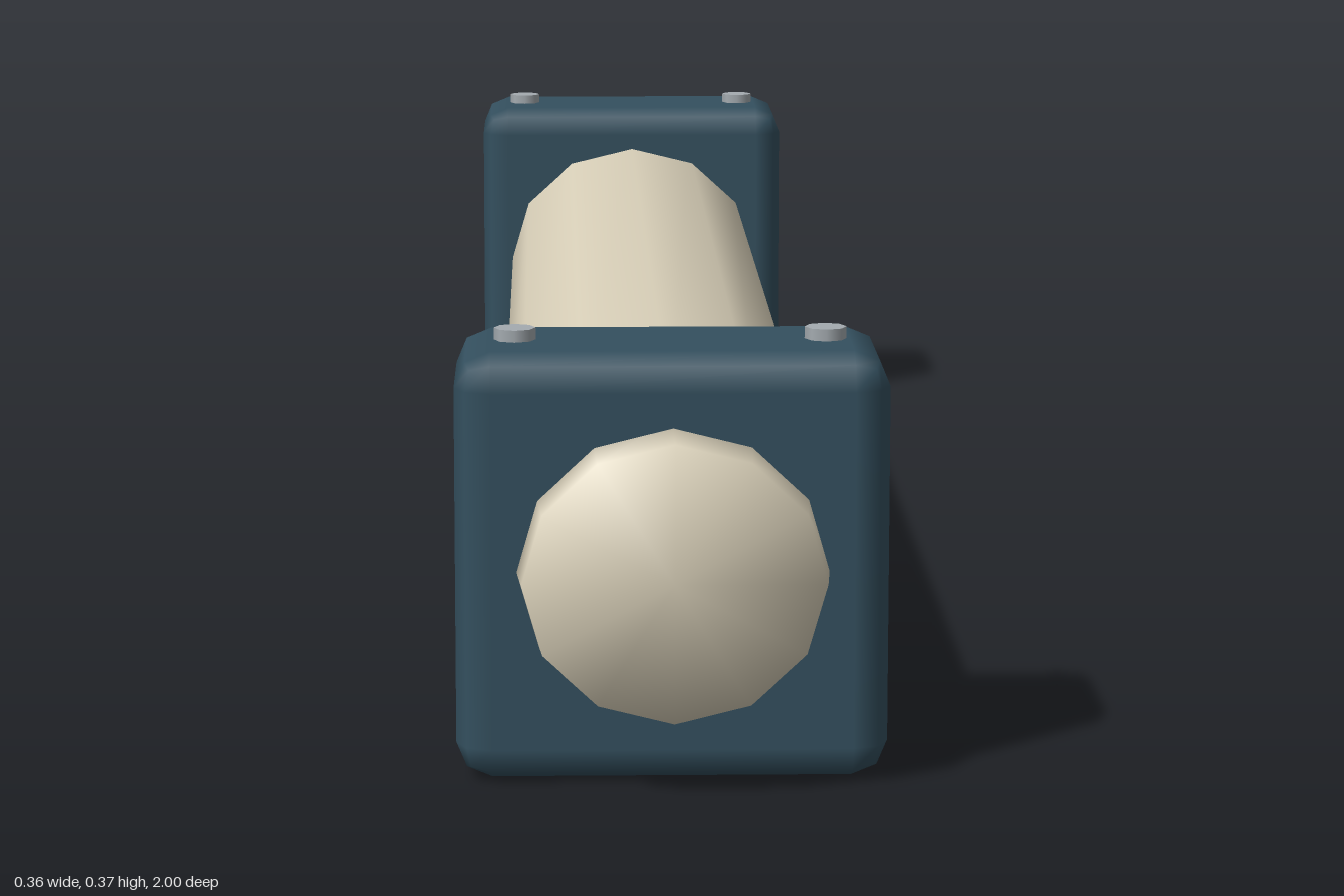
import * as THREE from 'three';
import { mergeVertices } from 'three/addons/utils/BufferGeometryUtils.js';
import { RoundedBoxGeometry } from 'three/addons/geometries/RoundedBoxGeometry.js';

const CENTRE_Y = 0.181;
const SIDES = 12;

function material(name, color) {
  const m = new THREE.MeshStandardMaterial({ color });
  m.name = name;
  return m;
}

// Weld the vertices so normals blend softly over the rim
function soften(geometry) {
  geometry.deleteAttribute('normal');
  geometry.deleteAttribute('uv');
  const welded = mergeVertices(geometry, 1e-4);
  welded.computeVertexNormals();
  return welded;
}

export function createModel() {
  const group = new THREE.Group();
  const cream = material('cream', 0xd8cfb8);
  const blue = material('slate blue', 0x34505f);
  const steel = material('steel', 0xa4abb0);

  function add(parent, name, geometry, mat, x, y, z) {
    const mesh = new THREE.Mesh(geometry, mat);
    mesh.name = name;
    mesh.position.set(x, y, z);
    parent.add(mesh);
    return mesh;
  }

  // Slightly flattened main tube, running front to back
  const tubeGeo = new THREE.CylinderGeometry(1, 1, 1.8, SIDES, 1, true);
  tubeGeo.rotateX(Math.PI / 2).scale(0.145, 0.132, 1);
  add(group, 'tube', tubeGeo, cream, 0, CENTRE_Y, 0);

  // Tapered end piece, with its wide rim inside the clamp
  const endGeo = new THREE.CylinderGeometry(0.96, 1.01, 0.08, SIDES, 1);
  endGeo.rotateX(Math.PI / 2).scale(0.13, 0.121, 1);
  const softEnd = soften(endGeo);

  const clampGeo = new RoundedBoxGeometry(0.36, 0.36, 0.18, 1, 0.03);
  const boltGeo = new THREE.CylinderGeometry(0.0175, 0.0175, 0.02, 8);

  // Clamp, end piece and bolts at the front and back
  for (const [label, turn] of [['front', 0], ['back', Math.PI]]) {
    const end = new THREE.Group();
    end.name = label + 'End';
    end.rotation.y = turn;
    add(end, label + 'Clamp', clampGeo, blue, 0, 0.18, 0.86);
    add(end, label + 'Cap', softEnd, cream, 0, CENTRE_Y, 0.96);
    for (const side of [-1, 1]) {
      add(end, label + 'Bolt', boltGeo, steel, side * 0.13, 0.36, 0.86);
    }
    group.add(end);
  }
  return group;
}
